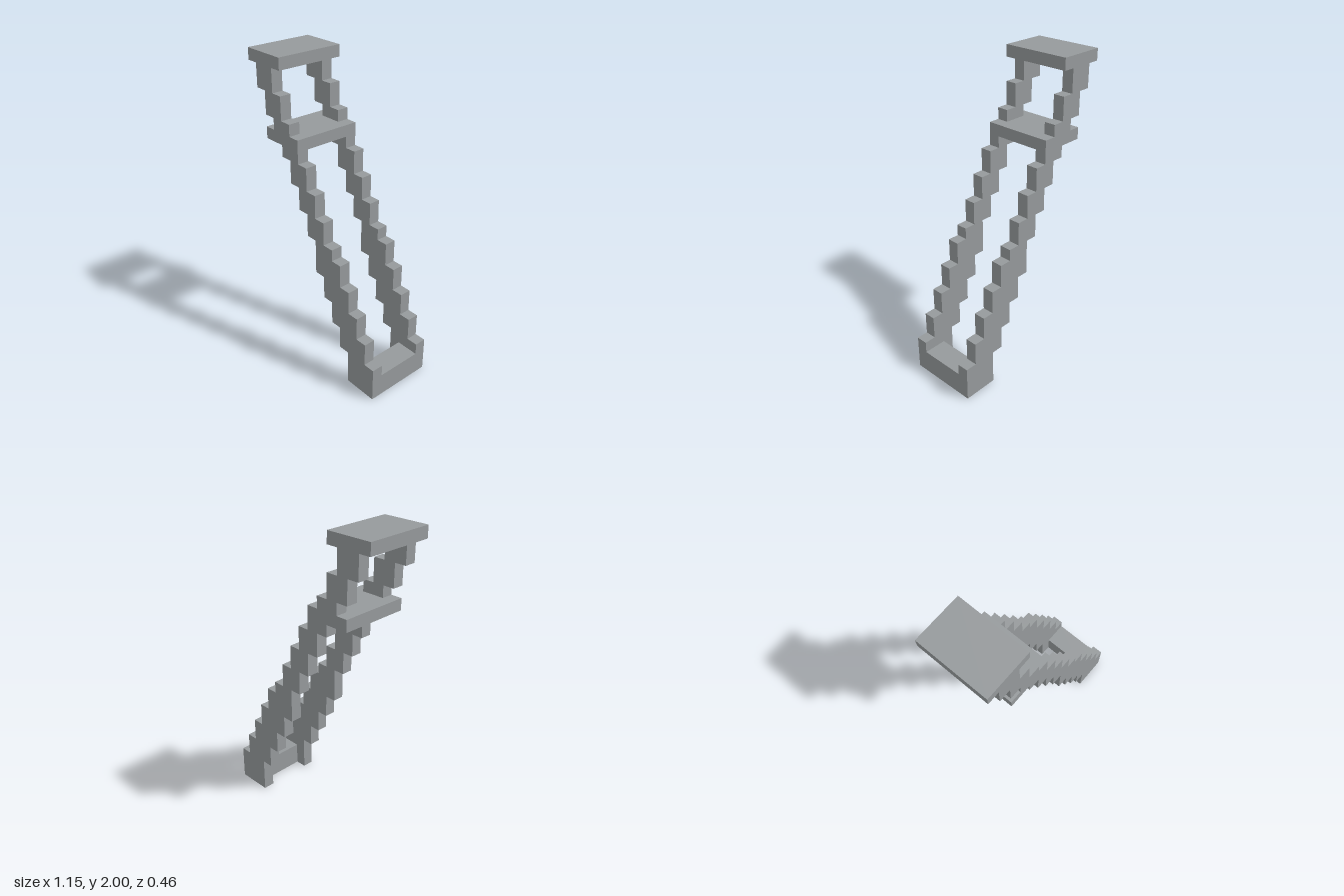
import * as THREE from 'three';

const U = 2 / 26; // one grid cell

export function createModel() {
  const group = new THREE.Group();
  group.name = 'steppedLeaningFrame';
  const grey = new THREE.MeshStandardMaterial({ color: 0x969a9c });
  grey.name = 'stone grey';

  // Steps of the rail, in cells: [left x, right x, bottom y, top y]
  const lowerSteps = [
    [12, 15, 0, 3], [11, 14, 3, 5], [10, 13, 5, 7], [9, 12, 7, 9],
    [8, 11, 9, 11], [8, 10, 11, 12], [7, 9, 12, 14], [6, 8, 14, 16],
    [5, 7, 16, 18], [4, 6, 18, 19],
  ];
  const upperSteps = [[3, 5, 20, 21], [2, 4, 21, 23], [1, 3, 23, 25]];

  // Staircase outline: up the right edges, down the left edges
  function addRail(name, steps, z) {
    const points = [];
    for (const [, x1, y0, y1] of steps) points.push([x1, y0], [x1, y1]);
    for (const [x0, , y0, y1] of [...steps].reverse()) points.push([x0, y1], [x0, y0]);
    const shape = new THREE.Shape(points.map(([x, y]) => new THREE.Vector2((x - 7.5) * U, y * U)));
    const geometry = new THREE.ExtrudeGeometry(shape, { depth: U, bevelEnabled: false });
    const mesh = new THREE.Mesh(geometry, grey);
    mesh.name = name;
    mesh.position.z = z * U;
    group.add(mesh);
  }

  // Crosspiece centred on z
  function addCross(name, x0, x1, y0, y1, width) {
    const mesh = new THREE.Mesh(new THREE.BoxGeometry((x1 - x0) * U, (y1 - y0) * U, width * U), grey);
    mesh.name = name;
    mesh.position.set(((x0 + x1) / 2 - 7.5) * U, ((y0 + y1) / 2) * U, 0);
    group.add(mesh);
  }

  for (const [side, z] of [['front', 2], ['back', -3]]) {
    addRail(side + 'LowerRail', lowerSteps, z);
    addRail(side + 'UpperRail', upperSteps, z);
  }
  addCross('footBlock', 13, 15, 0, 2, 4);
  addCross('shelf', 2, 6, 19, 20, 6);
  addCross('topPlate', 0, 4, 25, 26, 6);

  return group;
}
